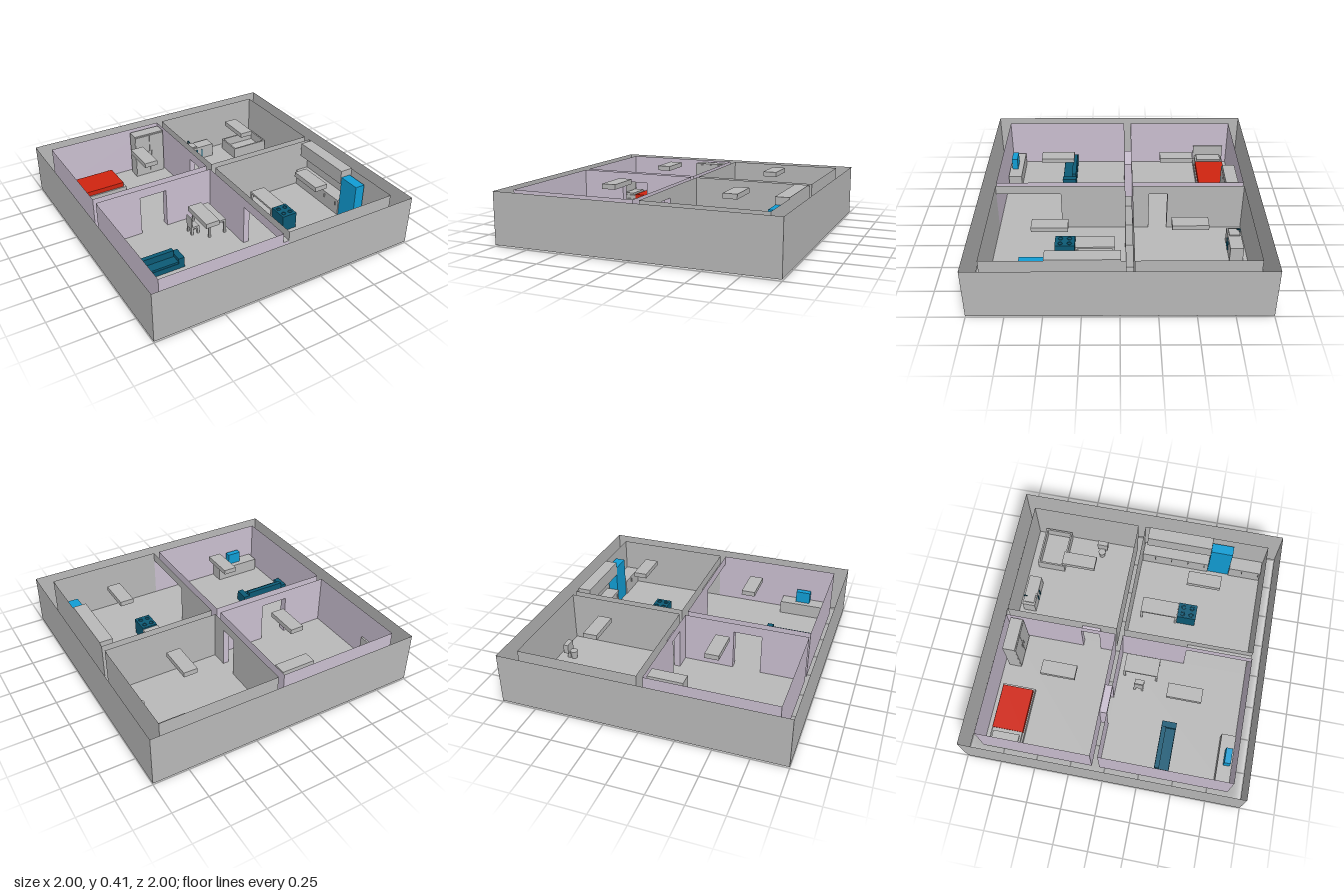
import * as THREE from 'three';

function material(name, color) {
  const m = new THREE.MeshStandardMaterial({ color, side: THREE.DoubleSide });
  m.name = name;
  return m;
}

export function createModel() {
  const model = new THREE.Group();
  model.name = 'house';
  const grey = material('plain grey', 0xb8b8b8);
  const lilac = material('lilac wall', 0xcabfd0);
  const red = material('red blanket', 0xcf2410);
  const teal = material('dark teal', 0x0c5a75);
  const blue = material('bright blue', 0x119dd4);

  const FLOOR = 0.01, TOP = 0.38, DOOR = 0.31;

  function add(name, geo, mat, parent = model) {
    const mesh = new THREE.Mesh(geo, mat);
    mesh.name = name;
    parent.add(mesh);
    return mesh;
  }
  function group(name) {
    const g = new THREE.Group();
    g.name = name;
    model.add(g);
    return g;
  }
  // box given by its limits
  function box(name, mat, [x0, x1], [y0, y1], [z0, z1], parent) {
    const m = add(name, new THREE.BoxGeometry(x1 - x0, y1 - y0, z1 - z0), mat, parent);
    m.position.set((x0 + x1) / 2, (y0 + y1) / 2, (z0 + z1) / 2);
    return m;
  }
  // horizontal sheet
  function sheet(name, mat, [x0, x1], y, [z0, z1]) {
    const m = add(name, new THREE.PlaneGeometry(x1 - x0, z1 - z0).rotateX(-Math.PI / 2), mat);
    m.position.set((x0 + x1) / 2, y, (z0 + z1) / 2);
  }
  // upright wall sheet running along x or z, with an optional doorway
  function wall(name, mat, axis, [a, b], at, door) {
    const s = new THREE.Shape();
    s.moveTo(a, FLOOR);
    if (door) {
      s.lineTo(door[0], FLOOR);
      s.lineTo(door[0], DOOR);
      s.lineTo(door[1], DOOR);
      s.lineTo(door[1], FLOOR);
    }
    if (!door || door[1] < b) s.lineTo(b, FLOOR);
    s.lineTo(b, TOP);
    s.lineTo(a, TOP);
    const m = add(name, new THREE.ShapeGeometry(s), mat);
    if (axis === 'x') m.position.z = at;
    else {
      m.rotation.y = -Math.PI / 2;
      m.position.x = at;
    }
  }

  // outer shell, open at top and bottom
  for (const s of [-1, 1]) {
    wall('outerWall', grey, 'x', [-1, 1], s);
    wall('outerWall', grey, 'z', [-1, 1], s);
  }

  // four rooms: floor and wall sheets
  const L = [-0.905, -0.005], R = [0.04, 0.895], B = [-0.905, -0.095], F = [-0.04, 0.9];
  const hall = [-0.575, -0.37], side = [-0.35, -0.215], arch = [0.43, 0.9];
  const rooms = [
    { name: 'bedroom', mat: lilac, x: L, z: B, front: hall, right: side },
    { name: 'bathroom', mat: grey, x: R, z: B, left: side },
    { name: 'livingRoom', mat: lilac, x: L, z: F, back: hall, right: arch },
    { name: 'kitchen', mat: grey, x: R, z: F, left: arch },
  ];
  for (const r of rooms) {
    sheet(r.name + 'Floor', grey, r.x, FLOOR, r.z);
    wall(r.name + 'BackWall', r.mat, 'x', r.x, r.z[0], r.back);
    wall(r.name + 'FrontWall', r.mat, 'x', r.x, r.z[1], r.front);
    wall(r.name + 'LeftWall', r.mat, 'z', r.z, r.x[0], r.left);
    wall(r.name + 'RightWall', r.mat, 'z', r.z, r.x[1], r.right);
  }

  // doorways: threshold, lintel and jambs
  function jamb(x, z, w, d) {
    const m = add('jamb', new THREE.PlaneGeometry(w || d, DOOR - FLOOR), lilac);
    if (d) m.rotation.y = Math.PI / 2;
    m.position.set(x, (DOOR + FLOOR) / 2, z);
  }
  const gapX = [L[1], R[0]], gapZ = [B[1], F[0]];
  for (const [x, z, mat] of [[gapX, side, lilac], [hall, gapZ, lilac], [gapX, arch, grey]]) {
    sheet('threshold', grey, x, FLOOR, z);
    sheet('lintel', mat, x, DOOR, z);
  }
  for (const z of [...side, ...arch]) jamb(0.0175, z, 0.045, 0);
  for (const x of hall) jamb(x, -0.0675, 0, 0.055);

  // hanging ceiling lamps
  for (const [x, z] of [[-0.35, -0.432], [0.51, -0.472], [-0.35, 0.468], [0.53, 0.468]])
    box('ceilingLamp', grey, [x - 0.05, x + 0.05], [0.37, 0.405], [z - 0.123, z + 0.123]);

  // table with four legs
  function table(name, [x0, x1], h, [z0, z1]) {
    const g = group(name), t = 0.015;
    box('top', grey, [x0, x1], [h - t, h], [z0, z1], g);
    for (const x of [x0, x1 - t])
      for (const z of [z0, z1 - t]) box('leg', grey, [x, x + t], [FLOOR, h - t], [z, z + t], g);
  }

  // bed
  const bed = group('bed');
  box('frame', grey, [-0.905, -0.43], [0.01, 0.05], [-0.87, -0.625], bed);
  box('headboard', grey, [-0.904, -0.89], [0.01, 0.17], [-0.87, -0.625], bed);
  box('mattress', grey, [-0.89, -0.452], [0.05, 0.08], [-0.857, -0.637], bed);
  box('blanket', red, [-0.775, -0.45], [0.052, 0.088], [-0.86, -0.634], bed);
  box('pillow', grey, [-0.88, -0.8], [0.08, 0.095], [-0.845, -0.65], bed);

  // wardrobe
  const wardrobe = group('wardrobe');
  box('body', grey, [-0.265, -0.02], [0.01, 0.37], [-0.87, -0.78], wardrobe);
  for (const x of [-0.264, -0.141]) {
    box('door', grey, [x, x + 0.12], [0.03, 0.36], [-0.78, -0.773], wardrobe);
  }
  for (const x of [-0.16, -0.125]) box('handle', grey, [x - 0.003, x + 0.003], [0.17, 0.22], [-0.773, -0.767], wardrobe);

  // bathroom cabinet with basin, tap and handles
  const cabinet = group('basinCabinet');
  box('body', grey, [0.2, 0.445], [0.01, 0.12], [-0.87, -0.775], cabinet);
  box('basin', grey, [0.22, 0.3], [0.12, 0.13], [-0.86, -0.785], cabinet);
  box('tapPost', teal, [0.257, 0.263], [0.13, 0.155], [-0.868, -0.862], cabinet);
  box('tapSpout', teal, [0.257, 0.263], [0.149, 0.155], [-0.862, -0.84], cabinet);
  for (const x of [0.295, 0.34]) box('handle', teal, [x - 0.004, x + 0.004], [0.03, 0.1], [-0.775, -0.768], cabinet);

  // bathtub
  const bath = group('bathtub');
  const rim = new THREE.Shape();
  rim.moveTo(0.58, 0.63).lineTo(0.885, 0.63).lineTo(0.885, 0.84).lineTo(0.58, 0.84);
  const hole = new THREE.Path();
  hole.moveTo(0.592, 0.642).lineTo(0.592, 0.828).lineTo(0.873, 0.828).lineTo(0.873, 0.642);
  rim.holes.push(hole);
  add('sides', new THREE.ExtrudeGeometry(rim, { depth: 0.09, bevelEnabled: false }).rotateX(-Math.PI / 2), grey, bath).position.y = FLOOR;
  box('bottom', grey, [0.59, 0.875], [0.01, 0.03], [-0.83, -0.64], bath);

  // toilet
  const toilet = group('toilet');
  add('bowl', new THREE.CylinderGeometry(0.028, 0.02, 0.06, 20), grey, toilet).position.set(0.778, 0.04, -0.365);
  box('foot', grey, [0.8, 0.825], [0.002, 0.07], [-0.38, -0.345], toilet);
  box('tank', grey, [0.803, 0.84], [0.06, 0.13], [-0.405, -0.325], toilet);

  // sofa
  const sofa = group('sofa');
  box('base', teal, [-0.895, -0.495], [0, 0.05], [0.35, 0.458], sofa);
  box('seat', teal, [-0.85, -0.54], [0.05, 0.065], [0.38, 0.455], sofa);
  box('backrest', teal, [-0.85, -0.54], [0.05, 0.115], [0.352, 0.385], sofa);
  for (const x of [-0.895, -0.54]) box('arm', teal, [x, x + 0.045], [0.05, 0.09], [0.35, 0.458], sofa);

  // television on its stand
  box('televisionStand', grey, [-0.875, -0.515], [0.01, 0.11], [0.79, 0.893]);
  box('television', blue, [-0.74, -0.63], [0.11, 0.2], [0.83, 0.875]);

  // desk and chair
  table('desk', [-0.185, -0.045], 0.125, [0, 0.255]);
  table('deskChair', [-0.28, -0.215], 0.075, [0.095, 0.165]);
  box('chairBack', grey, [-0.28, -0.272], [0.075, 0.15], [0.095, 0.165]);

  // kitchen table and cooker
  table('kitchenTable', [0.31, 0.432], 0.125, [0.035, 0.315]);
  const cooker = group('cooker');
  box('body', teal, [0.315, 0.432], [0, 0.135], [0.317, 0.458], cooker);
  for (const x of [0.345, 0.4])
    for (const z of [0.355, 0.42]) {
      const ring = add('burner', new THREE.TorusGeometry(0.015, 0.003, 6, 16).rotateX(Math.PI / 2), teal, cooker);
      ring.position.set(x, 0.137, z);
    }

  // kitchen units along the wall, with the fridge between them
  const units = group('kitchenUnits');
  for (const z of [[-0.035, 0.485], [0.652, 0.895]]) {
    box('counter', grey, [0.795, 0.893], [0.01, 0.125], z, units);
    box('worktop', grey, [0.79, 0.893], [0.125, 0.135], z, units);
    for (let k = z[0] + 0.1; k < z[1]; k += 0.13) box('handle', grey, [0.787, 0.795], [0.08, 0.11], [k - 0.003, k + 0.003], units);
  }
  box('upperCabinet', grey, [0.797, 0.893], [0.28, 0.387], [-0.005, 0.485], units);
  box('fridge', blue, [0.802, 0.877], [0.01, 0.335], [0.487, 0.65]);
  return model;
}
